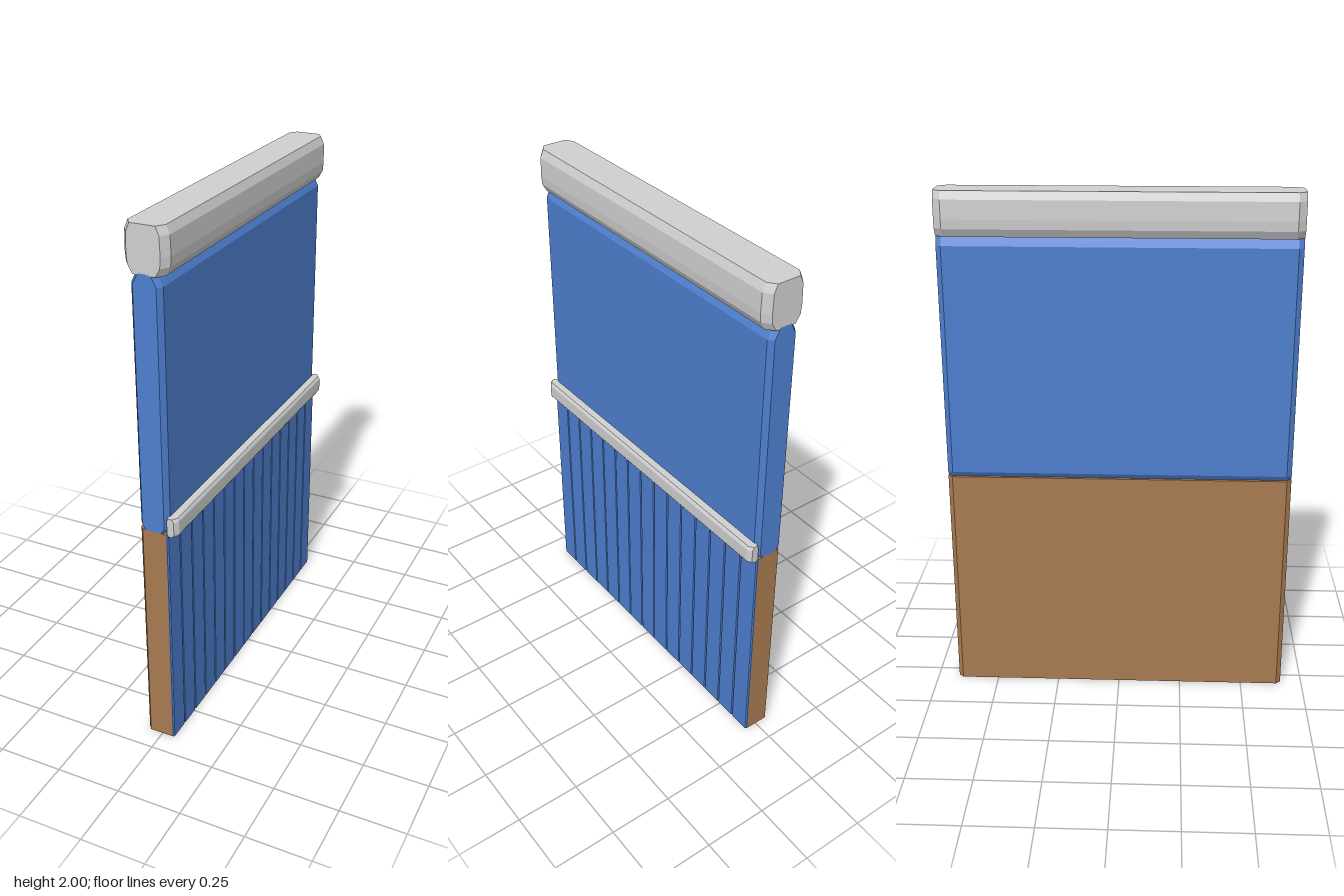
import * as THREE from 'three';
import { ConvexGeometry } from 'three/addons/geometries/ConvexGeometry.js';

const blue = new THREE.MeshStandardMaterial({ name: 'bluePaint', color: 0x4e7fcf });
const grey = new THREE.MeshStandardMaterial({ name: 'greyTrim', color: 0xd0d0d0 });
const brown = new THREE.MeshStandardMaterial({ name: 'brownWood', color: 0xa87b50 });

// Bar along z from stacked levels [y, xMin, xMax]; its upright corners are cut
// by cutBack on the -x side and cutFront on the +x side, and by cutZ along z.
function bar(name, material, levels, z0, z1, cutBack, cutFront, cutZ) {
  const points = [];
  for (const [y, x0, x1] of levels) {
    for (const [x, cut, dir] of [[x0, cutBack, 1], [x1, cutFront, -1]]) {
      const inset = cut > 0 ? cutZ : 0;
      for (const [z, s] of [[z0, 1], [z1, -1]]) {
        points.push(new THREE.Vector3(x, y, z + s * inset));
        if (cut > 0) points.push(new THREE.Vector3(x + dir * cut, y, z));
      }
    }
  }
  const mesh = new THREE.Mesh(new ConvexGeometry(points), material);
  mesh.name = name;
  return mesh;
}

export function createModel() {
  const wall = new THREE.Group();
  wall.name = 'wallPanel';
  const half = 0.665;

  // Wooden base behind the planks
  wall.add(bar('lowerBacking', brown, [[0, -0.065, 0.042], [0.9, -0.065, 0.042]], -half, half, 0.015, 0, 0.018));

  // Upper panel with bevelled edges
  wall.add(bar('upperPanel', blue, [
    [0.9, -0.053, 0.038], [0.92, -0.065, 0.05], [1.8, -0.065, 0.05], [1.84, -0.045, 0.03],
  ], -half, half, 0.015, 0.015, 0.02));

  // Vertical planks with narrow V grooves between them
  const planks = new THREE.Group();
  planks.name = 'planks';
  const count = 15, width = 2 * half / count;
  for (let i = 0; i < count; i++) {
    const z = -half + i * width;
    planks.add(bar('plank', blue, [[0, 0.042, 0.05], [0.9, 0.042, 0.05]], z, z + width, 0, 0.005, 0.004));
  }
  wall.add(planks);

  // Rail over the planks
  wall.add(bar('chairRail', grey, [
    [0.895, 0.042, 0.078], [0.905, 0.036, 0.085], [0.955, 0.036, 0.085], [0.967, 0.042, 0.078],
  ], -half, half, 0.01, 0.012, 0.018));

  // Top cap
  wall.add(bar('topCap', grey, [
    [1.835, -0.07, 0.055], [1.865, -0.087, 0.072], [1.9, -0.09, 0.075],
    [1.97, -0.088, 0.073], [2, -0.075, 0.06],
  ], -half, half, 0.022, 0.022, 0.03));

  return wall;
}
